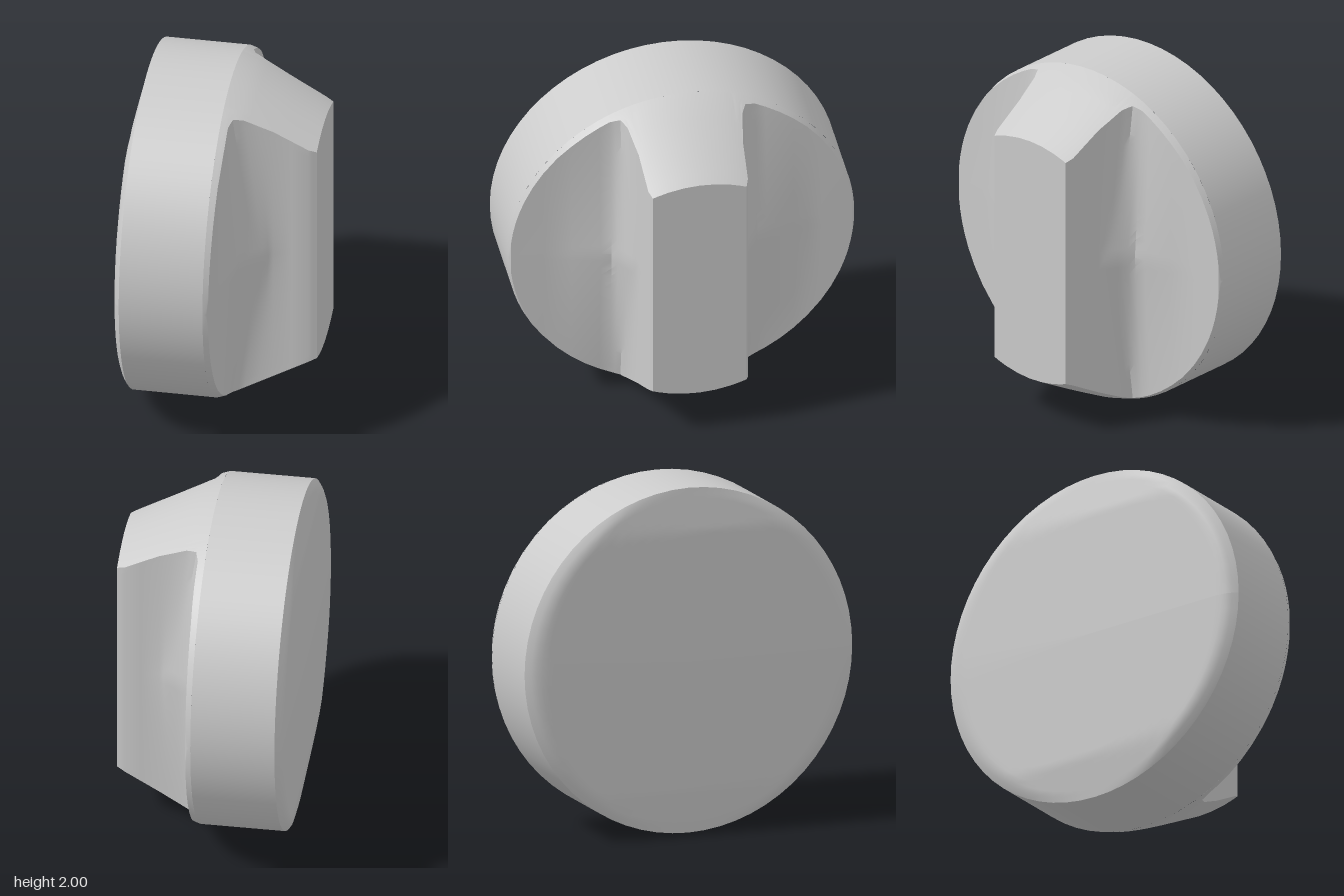
import * as THREE from 'three';
import { toCreasedNormals } from 'three/addons/utils/BufferGeometryUtils.js';

// piecewise linear lookup in a list of [input, output] pairs
function lerpTable(t, v) {
  if (v <= t[0][0]) return t[0][1];
  for (let i = 1; i < t.length; i++) {
    if (v <= t[i][0]) {
      const [a, p] = t[i - 1], [b, q] = t[i];
      return p + (q - p) * (v - a) / (b - a);
    }
  }
  return t[t.length - 1][1];
}

// tapered outer envelope of the knob: radius <-> height
const taper = [[0, 1], [0.03, 0.99], [0.1, 0.963], [0.3, 0.86], [0.525, 0.74]];
const taperInv = taper.map(([x, r]) => [r, x]).reverse();

// side scoops that leave the grip: distance from the middle -> height
const scoopEnd = [[0.27, 0.525], [0.287, 0.48], [0.30, 0.28], [0.33, 0.12], [0.36, 0.06], [0.42, 0.042], [1, 0.03]];
const scoopMid = [[0.27, 0.525], [0.287, 0.48], [0.30, 0.28], [0.41, 0.11], [0.72, 0.042], [1, 0.03]];
function scoop(y, z) {
  const w = Math.max(0, 1 - Math.abs(y) / 0.9), a = Math.abs(z);
  return lerpTable(scoopEnd, a) * (1 - w) + lerpTable(scoopMid, a) * w;
}

// front face: columns across the grip, rows split where scoop and taper meet
function frontGeometry() {
  const half = [0.09, 0.18, 0.24, 0.27, 0.278, 0.287, 0.293, 0.30, 0.315, 0.33, 0.345, 0.36, 0.39, 0.42,
    0.48, 0.56, 0.64, 0.72, 0.8, 0.86, 0.91, 0.94, 0.96, 0.975, 0.985, 0.993, 0.998, 1];
  const cols = [...half.map(z => -z).reverse(), 0, ...half];
  const inner = 16, outer = 8, n = inner + outer, rows = 2 * n + 1;
  const pos = [], idx = [];
  cols.forEach((z, i) => {
    const yEnd = Math.sqrt(Math.max(0, 1 - z * z));
    let yk = yEnd;
    for (let k = 0; k < 12; k++) {
      const r = lerpTable(taper, scoop(yk, z));
      yk = Math.sqrt(Math.max(0, r * r - z * z));
    }
    for (let j = -n; j <= n; j++) {
      const m = Math.abs(j);
      const y = Math.sign(j) * (m <= inner ? yk * m / inner : yk + (yEnd - yk) * (m - inner) / outer);
      pos.push(Math.min(lerpTable(taperInv, Math.hypot(y, z)), scoop(y, z)), y, z);
      if (i < cols.length - 1 && j < n) {
        const a = i * rows + j + n, c = a + rows;
        idx.push(a, a + 1, c, a + 1, c + 1, c);
      }
    }
  });
  const g = new THREE.BufferGeometry();
  g.setAttribute('position', new THREE.Float32BufferAttribute(pos, 3));
  g.setIndex(idx);
  g.computeVertexNormals();
  return toCreasedNormals(g, 0.6);
}

// back face: nearly flat disc, softened at the rim and sloped at top and bottom
function backGeometry() {
  const g = new THREE.CircleGeometry(1, 64);
  const ring = new THREE.RingGeometry(0.0001, 1, 64, 32).rotateY(-Math.PI / 2);
  g.dispose();
  const slope = [[0, -0.525], [0.75, -0.516], [1, -0.48]];
  const edge = [[0.88, -0.525], [0.94, -0.515], [0.975, -0.5], [1, -0.48]];
  const p = ring.attributes.position;
  for (let i = 0; i < p.count; i++) {
    const y = p.getY(i), z = p.getZ(i);
    p.setX(i, Math.max(lerpTable(slope, Math.abs(y)), lerpTable(edge, Math.hypot(y, z))));
  }
  ring.computeVertexNormals();
  return ring;
}

export function createModel() {
  const model = new THREE.Group();
  model.name = 'controlKnob';
  const material = new THREE.MeshStandardMaterial({ color: 0xcccccc });
  const add = (name, geometry) => {
    const mesh = new THREE.Mesh(geometry, material);
    mesh.name = name;
    mesh.position.y = 1;
    model.add(mesh);
  };
  // rim wall around the turning axis
  const rim = new THREE.CylinderGeometry(1, 1, 0.48, 64, 1, true).rotateZ(-Math.PI / 2).translate(-0.24, 0, 0);
  add('rim', rim);
  add('gripFace', frontGeometry());
  add('backFace', backGeometry());
  return model;
}
